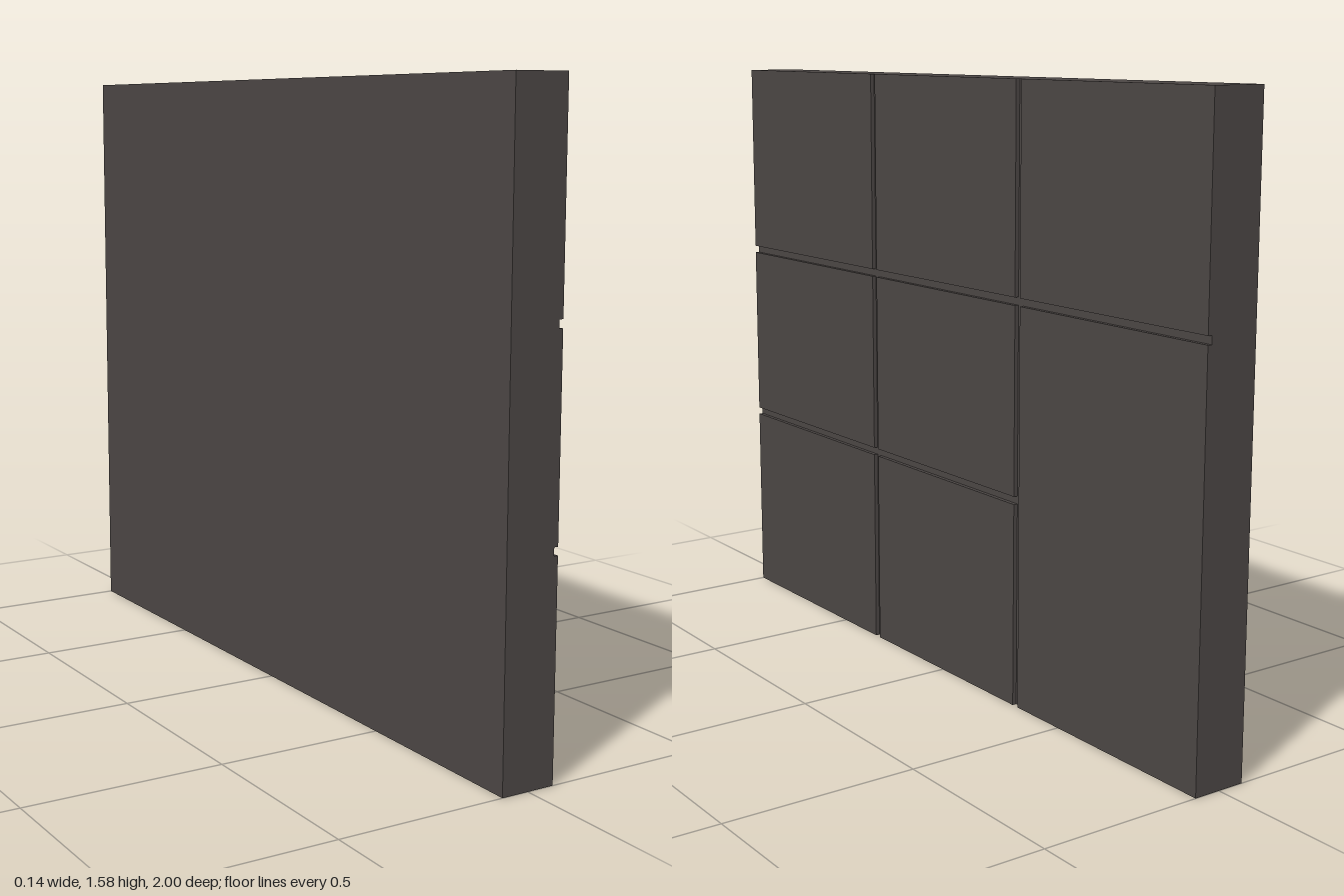
import * as THREE from 'three';

export function createModel() {
  const group = new THREE.Group();
  const stone = new THREE.MeshStandardMaterial({ color: 0x4b4644 });
  stone.name = 'dark stone';

  const half = 0.071;     // half the thickness
  const height = 1.58;
  const depth = 0.011;    // groove depth

  function block(name, x0, x1, y0, y1, z0, z1) {
    const mesh = new THREE.Mesh(new THREE.BoxGeometry(x1 - x0, y1 - y0, z1 - z0), stone);
    mesh.position.set((x0 + x1) / 2, (y0 + y1) / 2, (z0 + z1) / 2);
    mesh.name = name;
    group.add(mesh);
  }

  // Solid slab behind the panels
  block('slab', -half, half - depth, 0, height, -1, 1);

  // Raised panels separated by narrow grooves on the +x face
  const rows = [[0, 0.53], [0.55, 1.033], [1.053, height]];
  const columns = [[0.335, 1], [-0.315, 0.315], [-1, -0.335]];
  columns.forEach(([z0, z1], c) => {
    // The last column has one tall panel spanning the lower two rows
    const spans = c === 2 ? [[0, 1.033], rows[2]] : rows;
    spans.forEach(([y0, y1], r) =>
      block(`panel${c + 1}${'abc'[r]}`, half - depth, half, y0, y1, z0, z1));
  });

  return group;
}
